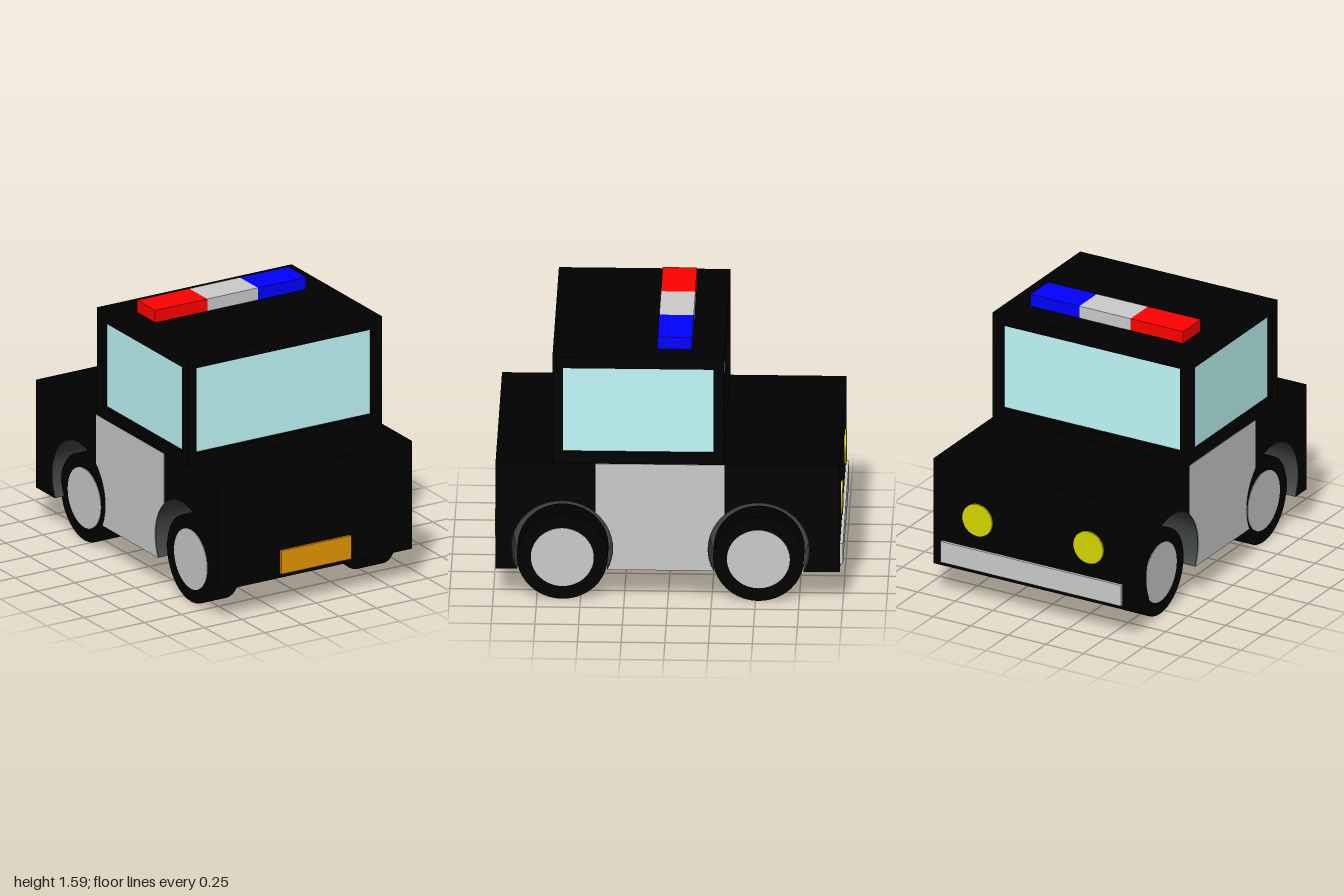
import * as THREE from 'three';

const mat = (color) => new THREE.MeshStandardMaterial({ color });
const black = mat(0x000000), grey = mat(0xcccccc), darkGrey = mat(0x444747);
const glass = mat(0xc1f9fa), red = mat(0xff0000), blue = mat(0x0000ff);
const yellow = mat(0xd6d600), orange = mat(0xe69800);

// Wheel arch circles, in side coordinates (z, y)
const ARCH_Y = 0.33, ARCH_R = 0.291, FRONT_Z = 0.604, REAR_Z = -0.519;
const BOTTOM = 0.196, TOP = 0.854, SIDE = 0.655, ARCH_IN = 0.38;
const DIP = Math.asin((ARCH_Y - BOTTOM) / ARCH_R);

export function createModel() {
  const car = new THREE.Group();
  car.name = 'car';

  const add = (name, geometry, material) => {
    const mesh = new THREE.Mesh(geometry, material);
    mesh.name = name;
    car.add(mesh);
    return mesh;
  };
  // Box given by its limits on each axis
  const box = (name, material, [x0, x1], [y0, y1], [z0, z1]) =>
    add(name, new THREE.BoxGeometry(x1 - x0, y1 - y0, z1 - z0), material)
      .position.set((x0 + x1) / 2, (y0 + y1) / 2, (z0 + z1) / 2);
  // Side profile (z, y) extruded between two x limits
  const slab = (name, material, shape, x0, x1) => {
    const g = new THREE.ExtrudeGeometry(shape, { depth: x1 - x0, bevelEnabled: false, curveSegments: 28 });
    g.rotateY(-Math.PI / 2).translate(x1, 0, 0);
    add(name, g, material);
  };
  const mirroredSlab = (name, material, shape, x0, x1) => {
    slab('left' + name, material, shape, x0, x1);
    slab('right' + name, material, shape, -x1, -x0);
  };

  // Lower body: solid core plus side slabs with the wheel arches cut out
  const bodyZ = [-0.983, 0.985];
  box('bodyCore', black, [-ARCH_IN, ARCH_IN], [BOTTOM, TOP], bodyZ);
  const side = new THREE.Shape();
  side.moveTo(bodyZ[1], TOP);
  side.lineTo(bodyZ[0], TOP);
  side.lineTo(bodyZ[0], BOTTOM);
  for (const z of [REAR_Z, FRONT_Z]) side.absarc(z, ARCH_Y, ARCH_R, Math.PI + DIP, -DIP, true);
  side.lineTo(bodyZ[1], BOTTOM);
  mirroredSlab('BodySide', black, side, ARCH_IN, SIDE);

  // Arch liners and their inner walls
  for (const [end, z] of [['Rear', REAR_Z], ['Front', FRONT_Z]]) {
    const liner = new THREE.Shape();
    liner.absarc(z, ARCH_Y, ARCH_R, Math.PI + DIP, -DIP, true);
    liner.absarc(z, ARCH_Y, ARCH_R - 0.004, -DIP, Math.PI + DIP, false);
    mirroredSlab(end + 'ArchLiner', darkGrey, liner, ARCH_IN, SIDE - 0.001);
    const wall = new THREE.Shape();
    wall.absarc(z, ARCH_Y, ARCH_R, Math.PI + DIP, -DIP, true);
    mirroredSlab(end + 'ArchWall', darkGrey, wall, ARCH_IN, ARCH_IN + 0.004);
  }

  // Door panels, bitten by the arches
  const d0 = -0.325, d1 = 0.412;
  const door = new THREE.Shape();
  door.moveTo(d1, TOP);
  door.lineTo(d0, TOP);
  door.absarc(REAR_Z, ARCH_Y, ARCH_R, Math.acos((d0 - REAR_Z) / ARCH_R), -DIP, true);
  door.absarc(FRONT_Z, ARCH_Y, ARCH_R, Math.PI + DIP, Math.PI - Math.acos((FRONT_Z - d1) / ARCH_R), true);
  mirroredSlab('Door', grey, door, SIDE - 0.002, SIDE + 0.002);

  // Cabin: sill, roof and corner posts around recessed windows
  const cabinX = [-SIDE, SIDE], cabinZ = [-0.322, 0.66], glassY = [0.92, 1.445];
  box('cabinSill', black, cabinX, [0.857, glassY[0]], cabinZ);
  box('roof', black, cabinX, [glassY[1], 1.511], cabinZ);
  for (const x of [[-SIDE, -0.592], [0.592, SIDE]])
    for (const z of [[cabinZ[0], -0.26], [0.6, cabinZ[1]]]) box('cabinPost', black, x, glassY, z);
  box('windows', glass, [-0.625, 0.625], glassY, [-0.292, 0.63]);

  // Roof light bar
  const barY = [1.511, 1.585], barZ = [-0.135, 0.062];
  box('redLight', red, [-0.5, -0.15], barY, barZ);
  box('lightBarCentre', grey, [-0.15, 0.19], barY, barZ);
  box('blueLight', blue, [0.19, 0.515], barY, barZ);

  // Plate, bumper and round lamps
  box('plate', orange, [-0.233, 0.237], [0.222, 0.365], [0.97, 1]);
  box('bumper', grey, [-0.6, 0.6], [0.222, 0.352], [-1, -0.97]);
  for (const x of [-0.378, 0.36]) {
    const lamp = add('lamp', new THREE.CylinderGeometry(0.1, 0.1, 0.03, 32), yellow);
    lamp.rotation.x = Math.PI / 2;
    lamp.position.set(x, 0.535, -0.978);
  }

  // Wheels: tyre with a hub cap on the outer face
  const wheels = [
    ['leftFront', 0.543, FRONT_Z], ['rightFront', -0.51, FRONT_Z],
    ['leftRear', 0.543, -0.517], ['rightRear', -0.51, -0.55],
  ];
  for (const [name, x, z] of wheels) {
    const hubX = x + Math.sign(x) * 0.068;
    const parts = [['Tyre', 0.26, 0.17, black, x], ['Hub', 0.18, 0.04, grey, hubX]];
    for (const [part, r, width, material, px] of parts) {
      const mesh = add(name + part, new THREE.CylinderGeometry(r, r, width, 40), material);
      mesh.rotation.z = Math.PI / 2;
      mesh.position.set(px, 0.26, z);
    }
  }
  return car;
}
